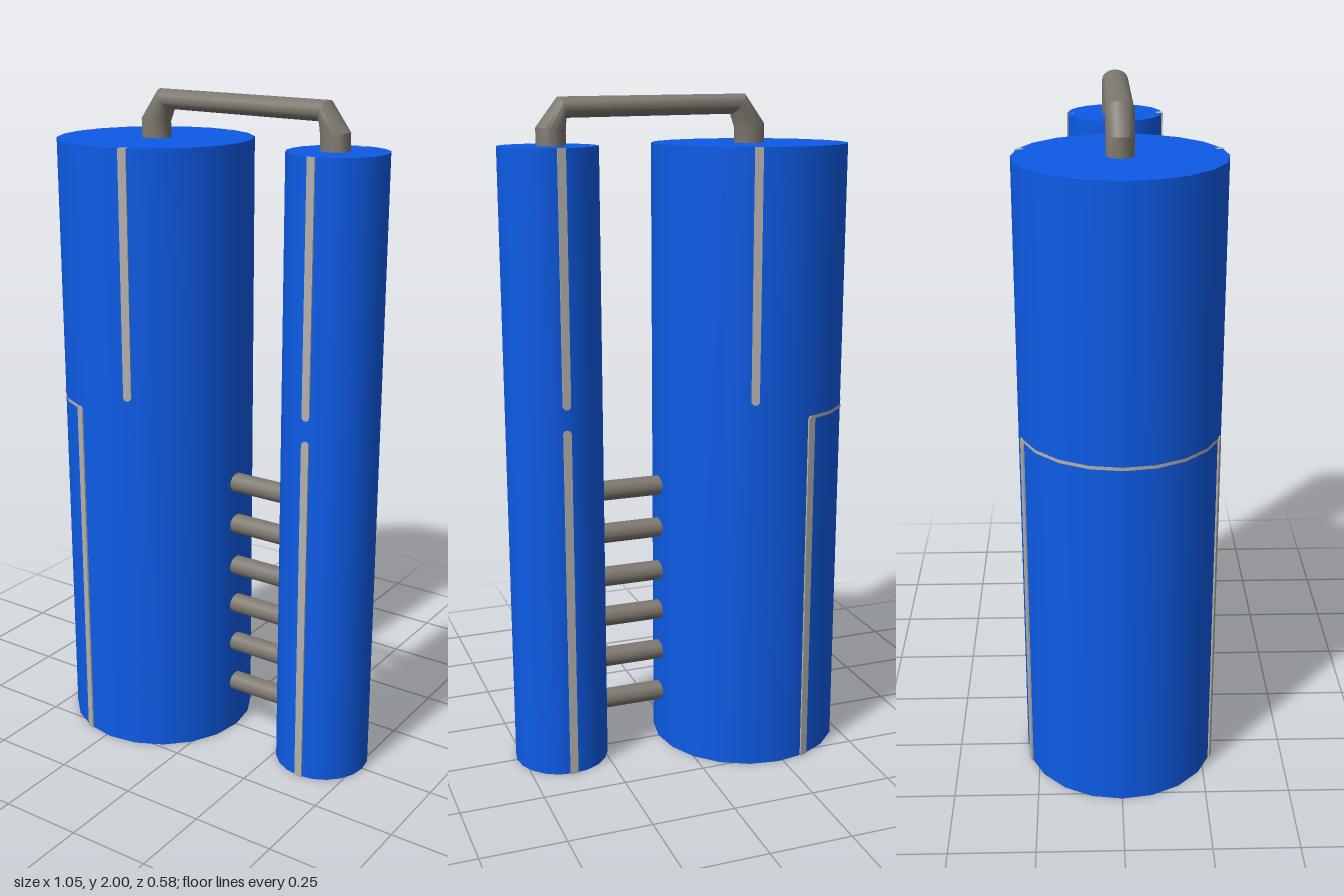
import * as THREE from 'three';
import { toCreasedNormals } from 'three/addons/utils/BufferGeometryUtils.js';

const H = 1.86;
const BIG = { x: -0.235, r: 0.29 };
const SMALL = { x: 0.377, r: 0.143 };
const deg = THREE.MathUtils.degToRad;

export function createModel() {
  const blue = new THREE.MeshStandardMaterial({ color: 0x0d5be6 });
  const metal = new THREE.MeshStandardMaterial({ color: 0x7d786f });
  const light = new THREE.MeshStandardMaterial({ color: 0xb4b1ac, side: THREE.DoubleSide });
  const model = new THREE.Group();

  function add(name, geometry, material, x = 0, y = 0, z = 0) {
    const mesh = new THREE.Mesh(geometry, material);
    mesh.name = name;
    mesh.position.set(x, y, z);
    model.add(mesh);
    return mesh;
  }

  // Two upright tanks
  add('largeTank', new THREE.CylinderGeometry(BIG.r, BIG.r, H, 20), blue, BIG.x, H / 2);
  add('smallTank', new THREE.CylinderGeometry(SMALL.r, SMALL.r, H, 20), blue, SMALL.x, H / 2);

  // Thin vertical strip on a tank wall, rounded at its end near mid-height
  function strip(name, tank, angle, flatY, roundY) {
    const w = 0.012;
    const length = Math.abs(roundY - flatY);
    const shape = new THREE.Shape();
    shape.moveTo(-w, 0);
    shape.lineTo(w, 0);
    shape.lineTo(w, length - w);
    shape.absarc(0, length - w, w, 0, Math.PI, false);
    shape.closePath();
    const geo = new THREE.ExtrudeGeometry(shape, { depth: 0.02, bevelEnabled: false, curveSegments: 6 });
    geo.translate(0, 0, tank.r - 0.017);
    if (roundY < flatY) { // hang down from the rim
      geo.translate(0, 0, -tank.r);
      geo.rotateZ(Math.PI);
      geo.translate(0, 0, tank.r);
    }
    add(name, geo, light, tank.x, flatY, 0).rotation.y = deg(angle);
  }
  for (const back of [false, true]) {
    const at = (a) => (back ? 180 - a : a);
    strip('largeTankUpperStrip', BIG, at(18), H, 1.135);
    strip('largeTankLowerStrip', BIG, at(-18), 0, 1.09);
    strip('smallTankUpperStrip', SMALL, at(0), H, 1.135);
    strip('smallTankLowerStrip', SMALL, at(0), 0, 1.075);
  }

  // Thin band joining the two lower strips around the outer side
  const bandR = BIG.r + 0.002;
  add('sideBand', new THREE.CylinderGeometry(bandR, bandR, 0.01, 8, 1, true, deg(198), deg(144)),
    light, BIG.x, 1.085);

  // Short pipes between the tanks
  for (const y of [0.84, 0.705, 0.565, 0.435, 0.3, 0.16]) {
    const geo = new THREE.CylinderGeometry(0.03, 0.03, 0.24, 16);
    geo.rotateZ(Math.PI / 2);
    add('connectingPipe', geo, metal, 0.145, y);
  }

  // Overhead pipe: [outer x, outer y, inner x, inner y] of each ring
  add('overheadPipe', pipeGeometry([
    [-0.277, 1.85, -0.187, 1.85],
    [-0.277, 1.915, -0.187, 1.905],
    [-0.215, 1.999, -0.175, 1.942],
    [0.345, 1.993, 0.325, 1.935],
    [0.41, 1.91, 0.325, 1.895],
    [0.41, 1.85, 0.325, 1.85],
  ], 0.039, 20), metal);

  return model;
}

// Joins elliptical rings, each spanning an outer and an inner point
function pipeGeometry(rings, halfDepth, sides) {
  const positions = [];
  const index = [];
  rings.forEach(([ox, oy, ix, iy], i) => {
    const cx = (ox + ix) / 2;
    const cy = (oy + iy) / 2;
    for (let j = 0; j < sides; j++) {
      const t = (j / sides) * Math.PI * 2;
      positions.push(cx + (ox - cx) * Math.cos(t), cy + (oy - cy) * Math.cos(t), halfDepth * Math.sin(t));
      if (i === rings.length - 1) continue;
      const a = i * sides + j;
      const b = i * sides + ((j + 1) % sides);
      index.push(a, b, a + sides, b, b + sides, a + sides);
    }
  });
  const geo = new THREE.BufferGeometry();
  geo.setAttribute('position', new THREE.Float32BufferAttribute(positions, 3));
  geo.setIndex(index);
  return toCreasedNormals(geo, deg(30));
}
